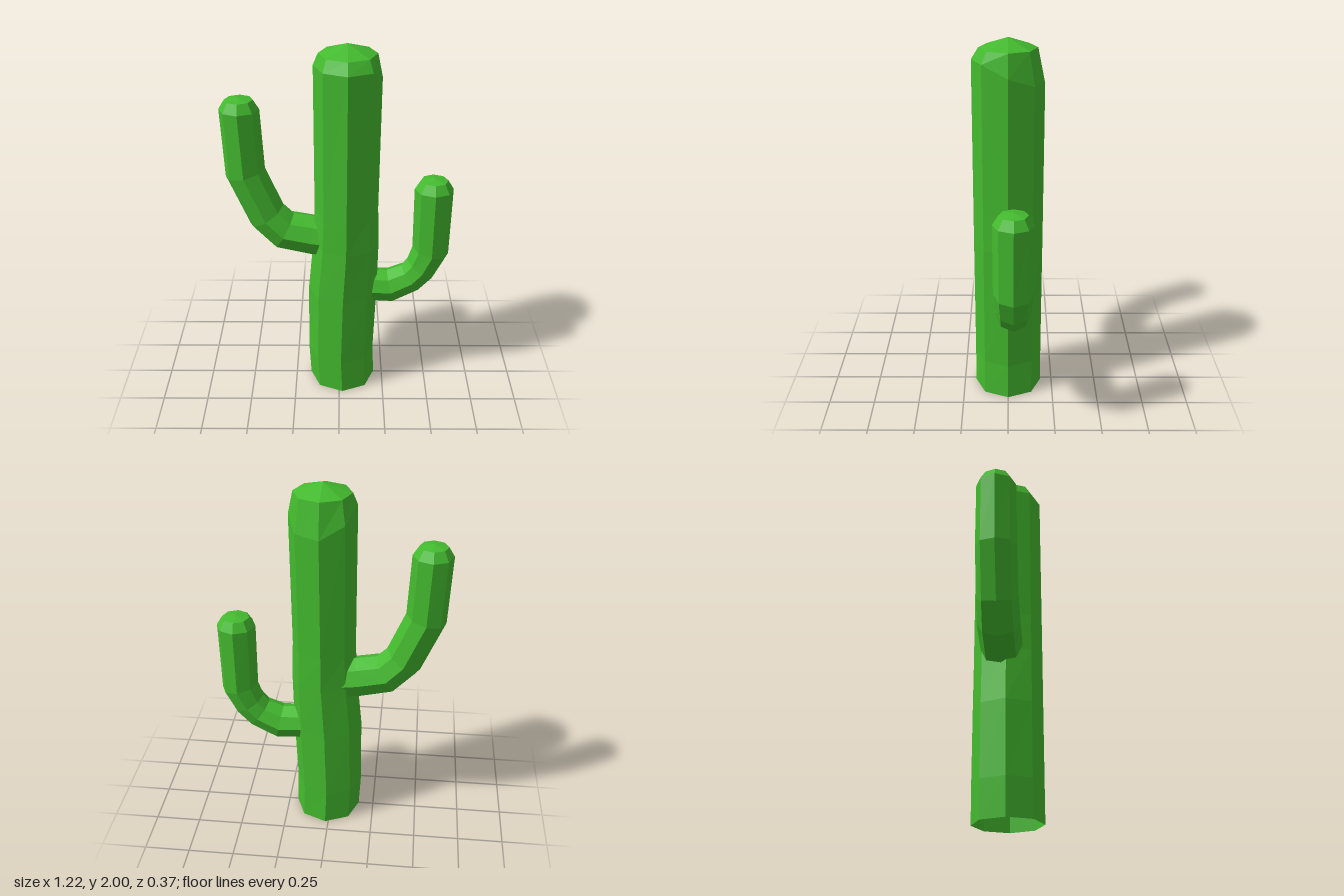
import * as THREE from 'three';

const SIDES = 8;

// Skin a list of eight-point rings, closing the last ring on an apex point
function loft(name, rings, apex, material) {
  const points = rings.flat().concat([apex]);
  const index = [];
  const tip = points.length - 1;
  for (let i = 0; i < rings.length; i++) {
    for (let j = 0; j < SIDES; j++) {
      const a = i * SIDES + j;
      const b = i * SIDES + ((j + 1) % SIDES);
      if (i === rings.length - 1) index.push(a, tip, b);
      else index.push(a, a + SIDES, b, b, a + SIDES, b + SIDES);
    }
  }
  let geometry = new THREE.BufferGeometry().setFromPoints(points);
  geometry.setIndex(index);
  geometry = geometry.toNonIndexed();
  geometry.computeVertexNormals();
  const mesh = new THREE.Mesh(geometry, material);
  mesh.name = name;
  return mesh;
}

// Octagonal ring around a centre, spanned by an in-plane direction and z
function ring(center, across, rx, rz, heights) {
  return Array.from({ length: SIDES }, (_, j) => {
    const a = (j / SIDES) * Math.PI * 2;
    const p = center.clone().addScaledVector(across, Math.cos(a) * rx);
    p.z += Math.sin(a) * rz;
    if (heights) p.y = heights[j];
    return p;
  });
}

// Gently leaning trunk with an uneven shoulder below the crown, open underneath
function makeTrunk(material) {
  const X = new THREE.Vector3(1, 0, 0);
  const sections = [ // y, centre x, x radius, z radius
    [0, 0.018, 0.183, 0.185],
    [0.2, 0.01, 0.185, 0.185],
    [0.6, 0.02, 0.19, 0.185],
    [0.9, 0.037, 0.178, 0.185],
    [1.1, 0.038, 0.17, 0.185],
  ];
  const rings = sections.map(([y, x, rx, rz]) => ring(new THREE.Vector3(x, y, 0), X, rx, rz));
  const shoulder = [1.83, 1.89, 1.89, 1.89, 1.89, 1.83, 1.77, 1.78];
  rings.push(ring(new THREE.Vector3(0.042, 0, 0), X, 0.173, 0.185, shoulder));
  rings.push(ring(new THREE.Vector3(0.042, 1.95, 0), X, 0.148, 0.148));
  return loft('trunk', rings, new THREE.Vector3(0.04, 2, 0), material);
}

// Upturned arm swept along a path of [x, y, radius], with a bevelled tip
function makeArm(name, path, material) {
  const z = -0.027;
  const centers = path.map(([x, y]) => new THREE.Vector3(x, y, z));
  const last = centers.length - 1;
  const direction = (i) => centers[Math.min(i + 1, last)].clone().sub(centers[Math.min(i, last - 1)]).normalize();
  const rings = centers.map((c, i) => {
    const t = direction(Math.max(i - 1, 0)).add(direction(i)).normalize();
    return ring(c, new THREE.Vector3(t.y, -t.x, 0), path[i][2], path[i][2]);
  });
  const end = centers[last];
  const X = new THREE.Vector3(1, 0, 0);
  rings[last] = ring(end, X, path[last][2], path[last][2]);
  rings.push(ring(end.clone().add(new THREE.Vector3(0, 0.05, 0)), X, 0.073, 0.073));
  return loft(name, rings, end.clone().add(new THREE.Vector3(0, 0.062, 0)), material);
}

export function createModel() {
  const green = new THREE.MeshStandardMaterial({
    color: 0x44bb2f, flatShading: true, side: THREE.DoubleSide,
  });
  const group = new THREE.Group();
  group.name = 'cactus';
  group.add(makeTrunk(green));
  group.add(makeArm('rightArm', [
    [-0.05, 0.91, 0.112], [-0.15, 0.923, 0.112], [-0.3, 0.955, 0.112],
    [-0.39, 1.048, 0.108], [-0.495, 1.3, 0.107], [-0.51, 1.65, 0.104],
  ], green));
  group.add(makeArm('leftArm', [
    [0.13, 0.605, 0.095], [0.285, 0.597, 0.097], [0.4, 0.652, 0.09],
    [0.455, 0.715, 0.093], [0.503, 0.825, 0.102], [0.505, 1.2, 0.104],
  ], green));
  return group;
}
